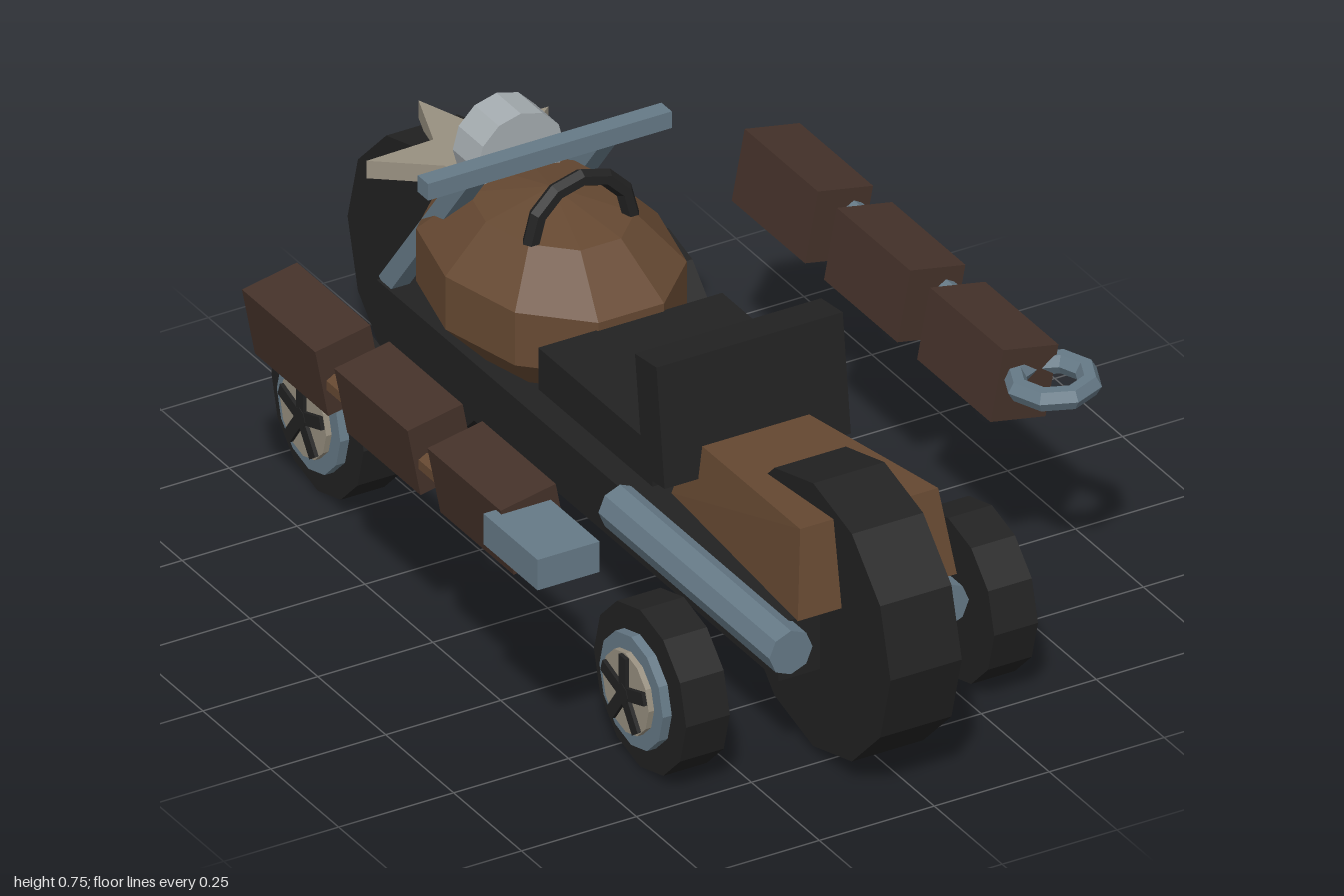
import * as THREE from 'three';

const CX = -0.0175; // centre line of the vehicle

const material = (name, color) => {
  const m = new THREE.MeshStandardMaterial({ color, flatShading: true });
  m.name = name;
  return m;
};

export function createModel() {
  const black = material('black', 0x222222);
  const brown = material('leatherBrown', 0x664932);
  const darkBrown = material('darkBrown', 0x45322a);
  const steel = material('steelBlue', 0x667a87);
  const beige = material('beige', 0x989080);
  const silver = material('silver', 0xa5acb0);

  const model = new THREE.Group();
  const body = new THREE.Group();
  body.name = 'body';
  body.position.x = CX;
  model.add(body);

  const add = (parent, name, geometry, mat, x = 0, y = 0, z = 0) => {
    const mesh = new THREE.Mesh(geometry, mat);
    mesh.name = name;
    mesh.position.set(x, y, z);
    parent.add(mesh);
    return mesh;
  };
  const box = (w, h, d) => new THREE.BoxGeometry(w, h, d);
  const discX = (r, w, n) => new THREE.CylinderGeometry(r, r, w, n).rotateZ(Math.PI / 2);
  const rodZ = (r, l, n) => new THREE.CylinderGeometry(r, r, l, n).rotateX(Math.PI / 2);

  // Chassis and main wheels
  add(body, 'chassis', box(0.335, 0.125, 1.48), black, 0, 0.2575, 0);
  for (const s of [1, -1]) {
    add(body, s > 0 ? 'frontMainWheel' : 'backMainWheel', discX(0.285, 0.155, 12), black, 0, 0.3, s * 0.715);
  }

  // Four outrigger wheels with rim, hub plate and five spokes
  for (const sx of [1, -1]) {
    for (const sz of [1, -1]) {
      const wheel = new THREE.Group();
      wheel.name = 'smallWheel';
      wheel.position.set(sx * 0.335, 0.17, sz * 0.594);
      body.add(wheel);
      add(wheel, 'tyre', discX(0.17, 0.095, 12), black);
      add(wheel, 'rim', discX(0.117, 0.02, 12), steel, sx * 0.057);
      add(wheel, 'hubPlate', discX(0.085, 0.014, 12), beige, sx * 0.072);
      for (let i = 0; i < 5; i++) {
        const spoke = box(0.014, 0.08, 0.026).translate(0, 0.04, 0).rotateX(i * Math.PI * 0.4);
        add(wheel, 'spoke', spoke, black, sx * 0.08);
      }
      add(wheel, 'hubCap', discX(0.022, 0.014, 8), black, sx * 0.081);
    }
  }

  // Exhaust pipes
  for (const s of [1, -1]) {
    add(body, 'exhaustPipe', rodZ(0.047, 0.63, 8), steel, s * 0.17, 0.283, 0.475);
  }

  // Tapered tail fairing
  const tail = box(1, 1, 1);
  const p = tail.attributes.position;
  for (let i = 0; i < p.count; i++) {
    const top = p.getY(i) > 0, front = p.getZ(i) > 0;
    const half = front ? (top ? 0.15 : 0.173) : (top ? 0.113 : 0.135);
    const y = top ? (front ? 0.545 : 0.5) : 0.367;
    const z = front ? (top ? 0.79 : 0.82) : (top ? 0.33 : 0.29);
    p.setXYZ(i, Math.sign(p.getX(i)) * half, y, z);
  }
  tail.computeVertexNormals();
  add(body, 'tailFairing', tail, brown);

  // Seat with padded backrest
  add(body, 'seat', box(0.4, 0.09, 0.42), black, 0, 0.465, 0.12);
  const backrest = new THREE.Group();
  backrest.name = 'backrest';
  backrest.position.set(0, 0.56, 0.325);
  backrest.rotation.x = -0.12;
  body.add(backrest);
  add(backrest, 'backrestFrame', box(0.405, 0.25, 0.08), black);
  add(backrest, 'backrestPad', box(0.31, 0.16, 0.012), darkBrown, 0, 0.015, -0.043);

  // Faceted tank with a carrying handle
  const tank = add(body, 'tank', new THREE.SphereGeometry(1, 10, 5), brown, 0, 0.47, -0.38);
  tank.scale.set(0.243, 0.185, 0.325);
  add(body, 'tankHandle', new THREE.TorusGeometry(0.108, 0.018, 6, 6, Math.PI), black, 0, 0.62, -0.272);

  // Handlebar and slanted fork
  add(body, 'handlebar', box(0.53, 0.036, 0.038), steel, 0, 0.717, -0.405);
  for (const s of [1, -1]) {
    const fork = add(body, 'forkLeg', box(0.04, 0.51, 0.04), steel, s * 0.142, 0.515, -0.57);
    fork.rotation.x = Math.atan2(0.31, 0.4);
  }

  // Headlight
  add(body, 'headlight', rodZ(0.095, 0.09, 12), silver, 0, 0.66, -0.538);

  // Star plate lying flat, one point towards the back
  const star = new THREE.Shape();
  for (let i = 0; i < 10; i++) {
    const r = i % 2 ? 0.085 : 0.208, a = Math.PI / 2 + i * Math.PI / 5;
    star[i ? 'lineTo' : 'moveTo'](r * Math.cos(a), r * Math.sin(a));
  }
  star.closePath();
  const starGeometry = new THREE.ExtrudeGeometry(star, { depth: 0.038, bevelEnabled: false }).rotateX(-Math.PI / 2);
  add(body, 'starPlate', starGeometry, beige, 0, 0.556, -0.662);

  // Two floating rows of tilted segments, joined by rods
  for (const s of [1, -1]) {
    const arm = new THREE.Group();
    arm.name = s > 0 ? 'leftArm' : 'rightArm';
    body.add(arm);
    for (const z of [-0.358, -0.018, 0.325]) {
      const segment = add(arm, 'armSegment', box(0.122, 0.15, 0.27), darkBrown, s * 0.5325, 0.492, z);
      segment.rotation.z = -s * 0.19;
    }
    add(arm, 'armRod', rodZ(0.02, 0.7, 6), s > 0 ? steel : brown, s * 0.565, s > 0 ? 0.515 : 0.475, -0.018);
  }
  add(body, 'rightHandBlock', box(0.135, 0.066, 0.2), steel, -0.565, 0.513, 0.54);
  const ring = new THREE.TorusGeometry(0.073, 0.023, 6, 8).rotateX(Math.PI / 2);
  add(body, 'leftHandRing', ring, steel, 0.565, 0.513, 0.508);

  return model;
}
